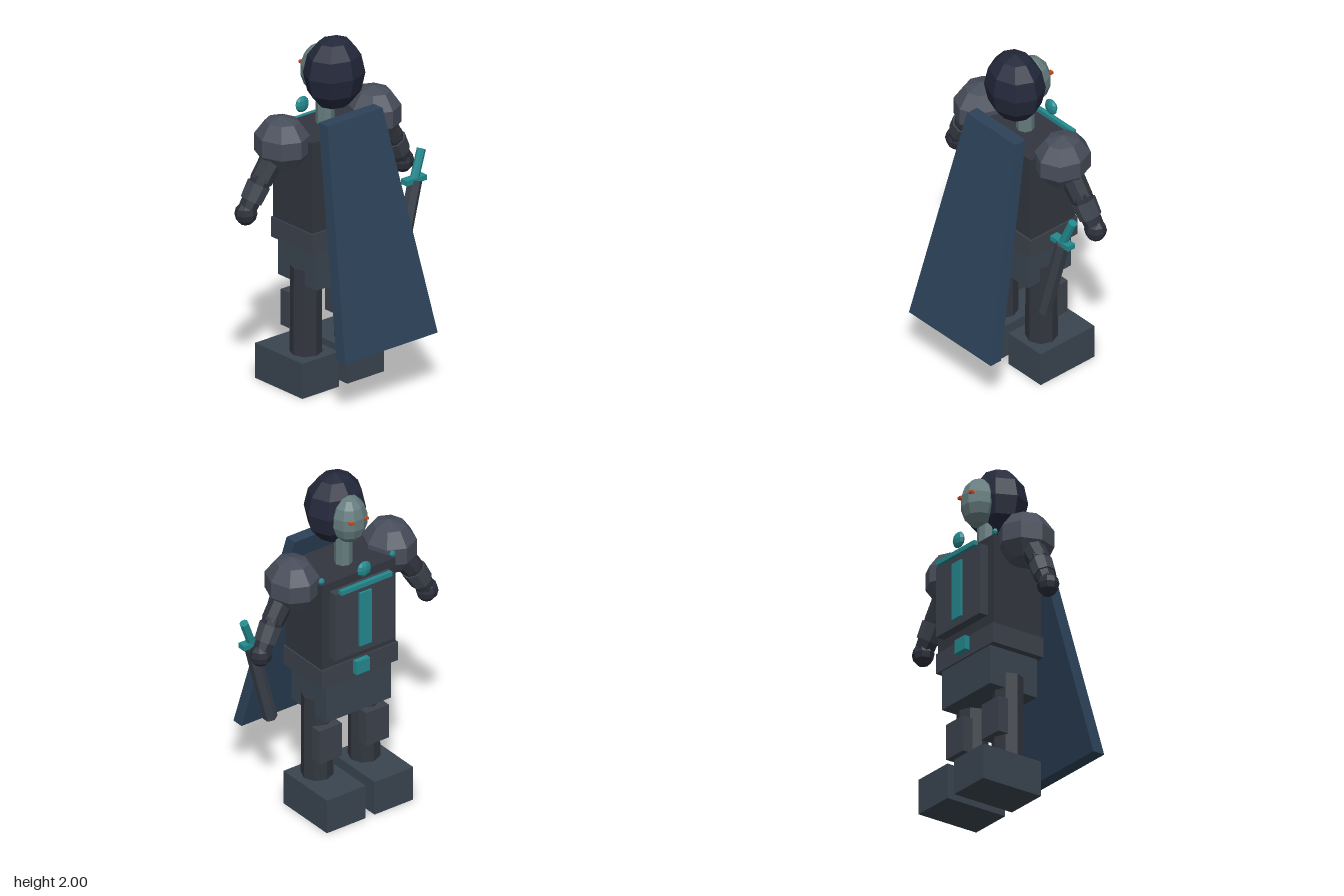
import * as THREE from 'three';

const mat = (color) => new THREE.MeshStandardMaterial({ color, flatShading: true });
const MAT = {
  hood: mat(0x23283a), face: mat(0x657c7e), pauldron: mat(0x474d5a), cloth: mat(0x32363f),
  armour: mat(0x3c424c), boot: mat(0x3a4550), cape: mat(0x2c4259), teal: mat(0x23898e),
  glove: mat(0x2c303b), eye: mat(0xc8481c),
};

export function createModel() {
  const model = new THREE.Group();
  model.name = 'cloakedKnight';

  const add = (name, geometry, material, pos = [0, 0, 0], parent = model) => {
    const mesh = new THREE.Mesh(geometry, material);
    mesh.name = name;
    mesh.position.set(...pos);
    parent.add(mesh);
    return mesh;
  };
  // Box given by its [min, max] range on each axis
  const box = (name, material, x, y, z, parent) => add(
    name, new THREE.BoxGeometry(x[1] - x[0], y[1] - y[0], z[1] - z[0]), material,
    [x, y, z].map((r) => (r[0] + r[1]) / 2), parent);
  // Low-poly ellipsoid
  const ball = (name, material, pos, radii, w, h, parent) => add(
    name, new THREE.SphereGeometry(1, w, h).scale(...radii), material, pos, parent);
  // Prism running from point a (radius ra) to point b (radius rb)
  const rod = (name, material, a, b, ra, rb, sides, parent) => {
    const p = new THREE.Vector3(...a), q = new THREE.Vector3(...b);
    const dir = q.clone().sub(p);
    const mesh = add(name, new THREE.CylinderGeometry(rb, ra, dir.length(), sides), material,
      p.clone().add(q).multiplyScalar(0.5).toArray(), parent);
    mesh.quaternion.setFromUnitVectors(new THREE.Vector3(0, 1, 0), dir.normalize());
    return mesh;
  };

  // Head
  ball('hood', MAT.hood, [0, 1.792, -0.075], [0.178, 0.208, 0.155], 8, 6);
  ball('face', MAT.face, [0, 1.775, -0.2], [0.103, 0.14, 0.1], 10, 7);
  rod('neck', MAT.face, [0, 1.45, -0.15], [0, 1.66, -0.15], 0.05, 0.05, 8);

  // Body
  box('torso', MAT.cloth, [-0.247, 0.247], [0.93, 1.48], [-0.287, 0.03]);
  box('chestPlate', MAT.armour, [-0.195, 0.195], [1.02, 1.43], [-0.34, -0.28]);
  box('chestStripe', MAT.teal, [-0.04, 0.04], [1.06, 1.39], [-0.353, -0.33]);
  box('collarBar', MAT.teal, [-0.17, 0.17], [1.427, 1.453], [-0.36, -0.335]);
  ball('throatGem', MAT.teal, [0, 1.523, -0.335], [0.046, 0.046, 0.022], 8, 6);
  box('belt', MAT.armour, [-0.255, 0.255], [0.84, 0.955], [-0.296, 0.04]);
  box('buckle', MAT.teal, [-0.045, 0.045], [0.87, 0.95], [-0.328, -0.28]);
  box('skirt', MAT.boot, [-0.215, 0.215], [0.615, 0.845], [-0.286, 0.025]);

  // Paired parts
  for (const s of [-1, 1]) {
    const side = new THREE.Group();
    side.name = s > 0 ? 'leftSide' : 'rightSide';
    model.add(side);
    const mx = (a, b) => [Math.min(s * a, s * b), Math.max(s * a, s * b)];

    box('eye', MAT.eye, mx(0.036, 0.06), [1.793, 1.807], [-0.298, -0.275], side);
    ball('shoulderStud', MAT.teal, [s * 0.237, 1.5, -0.271], [0.019, 0.019, 0.016], 6, 4, side);

    // Leg
    rod('leg', MAT.cloth, [s * 0.157, 0.19, -0.125], [s * 0.157, 0.705, -0.125], 0.088, 0.085, 8, side);
    box('kneePlate', MAT.armour, mx(0.082, 0.232), [0.34, 0.545], [-0.245, -0.18], side);
    box('boot', MAT.boot, mx(0.03, 0.288), [0, 0.203], [-0.387, -0.002], side);

    // Arm
    ball('pauldron', MAT.pauldron, [s * 0.324, 1.458, -0.127], [0.15, 0.157, 0.166], 8, 5, side);
    rod('upperArm', MAT.cloth, [s * 0.34, 1.45, -0.127], [s * 0.465, 1.27, -0.138], 0.07, 0.063, 8, side);
    rod('forearm', MAT.glove, [s * 0.455, 1.29, -0.137], [s * 0.55, 1.12, -0.155], 0.062, 0.052, 8, side);
    rod('bracer', MAT.armour, [s * 0.475, 1.255, -0.141], [s * 0.522, 1.17, -0.15], 0.069, 0.064, 8, side);
    ball('hand', MAT.glove, [s * 0.555, 1.103, -0.155], [0.064, 0.067, 0.06], 8, 6, side);
  }

  // Sword hanging at the left side
  const sword = new THREE.Group();
  sword.name = 'sword';
  model.add(sword);
  rod('scabbard', MAT.armour, [0.352, 0.548, 0.031], [0.49, 1.06, 0.02], 0.04, 0.04, 6, sword);
  rod('grip', MAT.teal, [0.485, 1.06, 0.017], [0.55, 1.22, 0.002], 0.025, 0.025, 8, sword);
  box('guard', MAT.teal, [0.413, 0.555], [1.05, 1.08], [-0.008, 0.042], sword);

  // Cape: a box flared and swept backward towards the hem
  const cape = new THREE.BoxGeometry(1, 1.245, 0.072);
  const p = cape.attributes.position;
  for (let i = 0; i < p.count; i++) {
    const hem = p.getY(i) < 0;
    p.setX(i, p.getX(i) * (hem ? 0.654 : 0.39));
    p.setZ(i, p.getZ(i) + (hem ? 0.355 : 0.058));
  }
  cape.computeVertexNormals();
  add('cape', cape, MAT.cape, [0, 0.9625, 0]);

  return model;
}
